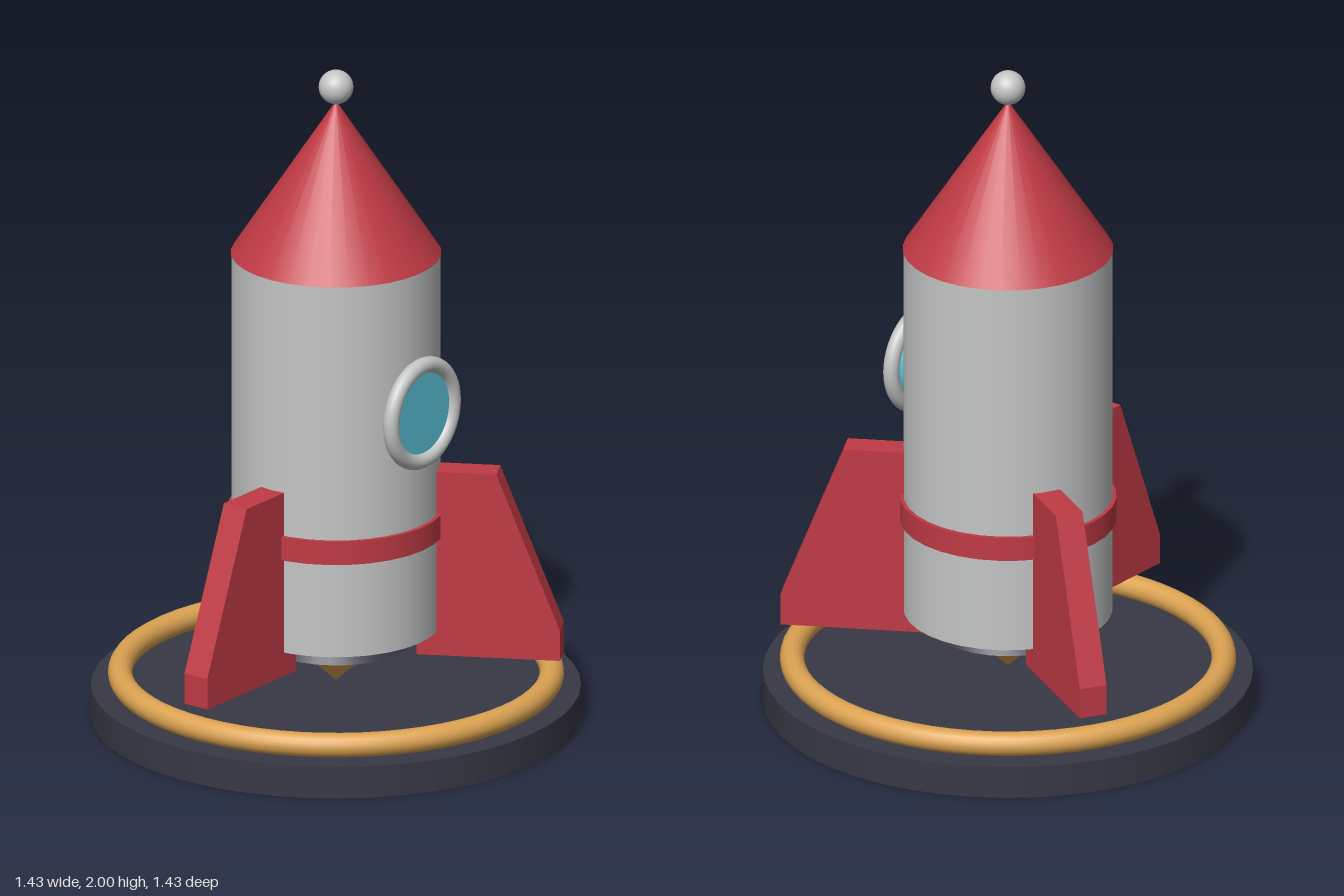
import * as THREE from 'three';

const material = (name, color, side = THREE.FrontSide) => {
  const m = new THREE.MeshStandardMaterial({ color, side });
  m.name = name;
  return m;
};

export function createModel() {
  const rocket = new THREE.Group();
  rocket.name = 'rocket';
  const red = material('red', 0xc03a44);
  const grey = material('light grey', 0xc4c6c5);
  const gold = material('gold', 0xdca352);
  const dark = material('dark slate', 0x383845);
  const blue = material('glass blue', 0x5cc2da);

  const add = (name, geometry, mat, x = 0, y = 0, z = 0) => {
    const mesh = new THREE.Mesh(geometry, mat);
    mesh.name = name;
    mesh.position.set(x, y, z);
    rocket.add(mesh);
    return mesh;
  };
  // Upright cylinder or cone between two heights
  const column = (name, rTop, rBottom, y0, y1, mat, sides = 32) =>
    add(name, new THREE.CylinderGeometry(rTop, rBottom, y1 - y0, sides), mat, 0, (y0 + y1) / 2, 0);

  // Launch pad and its ring
  column('launchPad', 0.715, 0.715, 0, 0.098, dark, 48);
  add('padRing', new THREE.TorusGeometry(0.63, 0.036, 16, 64).rotateX(Math.PI / 2), gold, 0, 0.135, 0);

  // Engine
  column('flame', 0.16, 0, 0.11, 0.26, gold, 24);
  column('nozzle', 0.175, 0.222, 0.235, 0.295, dark);

  // Body
  column('hull', 0.305, 0.305, 0.29, 1.437, grey);
  column('band', 0.317, 0.317, 0.58, 0.652, red);
  column('noseCone', 0, 0.308, 1.437, 1.907, red);
  add('tipBall', new THREE.SphereGeometry(0.051, 24, 16), grey, 0, 1.949, 0);

  // Porthole
  add('windowFrame', new THREE.TorusGeometry(0.146, 0.024, 16, 48), grey, 0, 1.008, 0.318);
  add('windowGlass', new THREE.CylinderGeometry(0.13, 0.13, 0.045, 40).rotateX(Math.PI / 2), blue, 0, 1.008, 0.3);

  // Three fins: one to the right, two swept toward the left
  const outline = new THREE.Shape([
    [0.243, 0.217], [0.665, 0.217], [0.665, 0.31], [0.478, 0.785], [0.243, 0.785],
  ].map(([x, y]) => new THREE.Vector2(x, y)));
  const finGeometry = new THREE.ExtrudeGeometry(outline, { depth: 0.084, bevelEnabled: false });
  finGeometry.translate(0, 0, -0.042);
  ['rightFin', 'frontLeftFin', 'backLeftFin'].forEach((name, i) => {
    add(name, finGeometry, red).rotation.y = Math.PI + i * Math.PI * 2 / 3;
  });

  return rocket;
}
